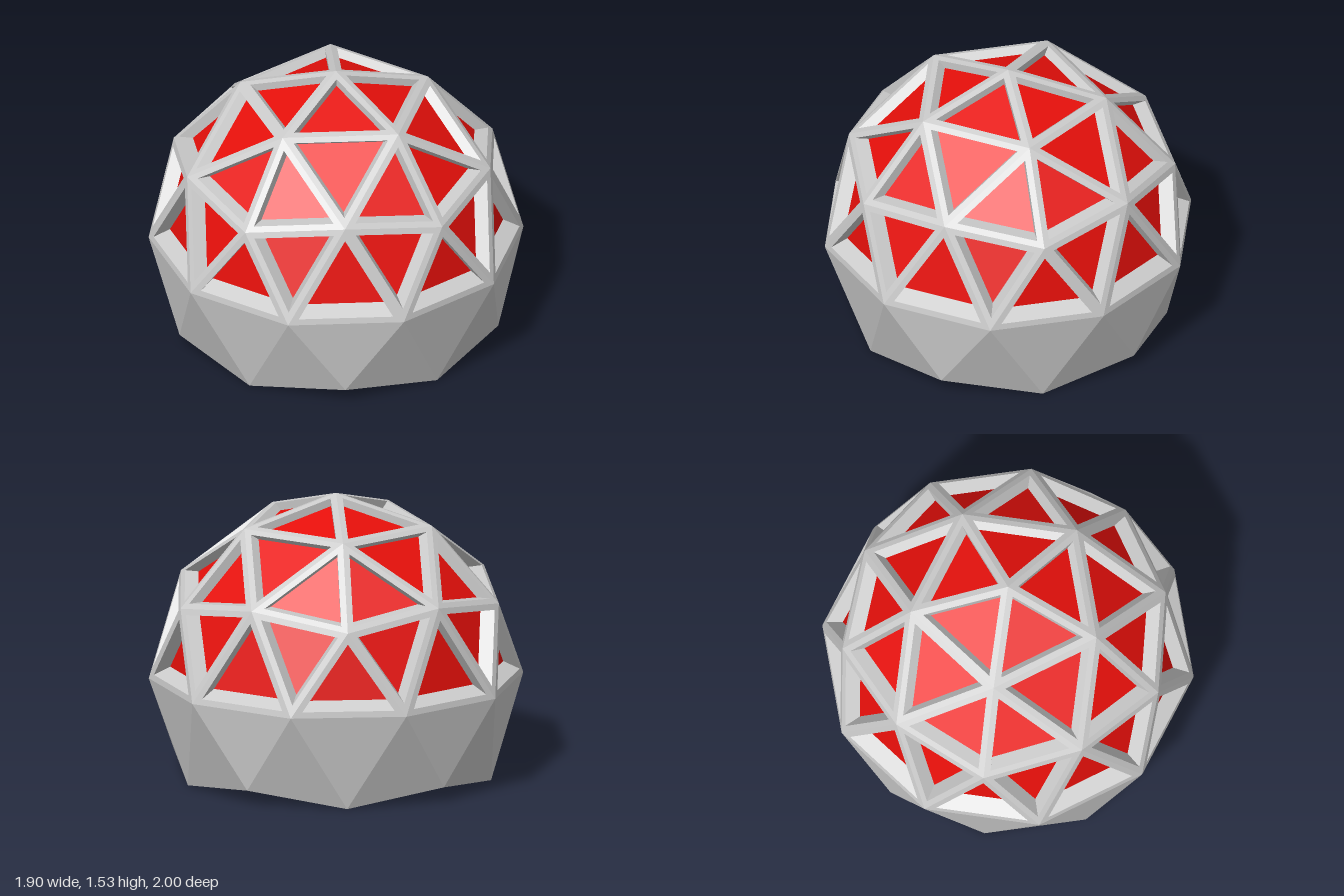
import * as THREE from 'three';

const RISE = 0.526;        // height of the widest ring
const INSET = 0.033;       // half width of a strut
const SHRINK = 0.91;       // inner shell relative to the outer shell
const SHRINK_CENTRE = new THREE.Vector3(0, 0.5, 0);

// Point on a horizontal ring, azimuth in degrees
const ring = (r, y) => (deg) => {
  const t = THREE.MathUtils.degToRad(deg);
  return new THREE.Vector3(r * Math.cos(t), y, r * Math.sin(t));
};
const top = ring(0, 1);
const crown = ring(0.526, 0.851);
const upper = ring(0.894, 0.447);
const upperMid = ring(0.851, 0.526);
const equator = ring(1, 0);
const lower = ring(0.894, -0.447);
const foot = ring(0.851, -0.526);
const under = ring(0.526, -0.447);
const underCentre = ring(0, -0.447);

// Wind a triangle so that its normal agrees with a direction
function facing([a, b, c], dir) {
  const n = b.clone().sub(a).cross(c.clone().sub(a));
  return n.dot(dir) < 0 ? [a, c, b] : [a, b, c];
}
const outward = (t) => facing(t, t[0].clone().add(t[1]).add(t[2]));
const downward = (t) => facing(t, new THREE.Vector3(0, -1, 0));

// Move each corner inward so every side shifts by w
function insetTriangle([a, b, c], w) {
  const la = b.distanceTo(c), lb = c.distanceTo(a), lc = a.distanceTo(b);
  const p = la + lb + lc;
  const centre = new THREE.Vector3()
    .addScaledVector(a, la / p).addScaledVector(b, lb / p).addScaledVector(c, lc / p);
  const area = b.clone().sub(a).cross(c.clone().sub(a)).length() / 2;
  const k = w / (2 * area / p);
  return [a, b, c].map((v) => v.clone().lerp(centre, k));
}

const shrink = (v) => v.clone().sub(SHRINK_CENTRE).multiplyScalar(SHRINK).add(SHRINK_CENTRE);

function makeMesh(name, triangles, color) {
  const g = new THREE.BufferGeometry().setFromPoints(triangles.flat());
  g.computeVertexNormals();
  const m = new THREE.Mesh(g, new THREE.MeshStandardMaterial({ color, flatShading: true }));
  m.name = name;
  m.position.y = RISE;
  return m;
}

export function createModel() {
  const dome = [], base = [], floor = [];

  // Five identical sectors
  for (let a = 0; a < 360; a += 72) {
    dome.push(
      [top(0), crown(a), crown(a + 72)],
      [crown(a), upper(a), upperMid(a + 36)],
      [crown(a), upperMid(a - 36), upper(a)],
      [crown(a), upperMid(a + 36), crown(a + 72)],
      [upper(a), equator(a - 18), equator(a + 18)],
      [upper(a), equator(a + 18), upperMid(a + 36)],
      [upperMid(a - 36), equator(a - 18), upper(a)],
      [upperMid(a + 36), equator(a + 18), equator(a + 54)],
    );
    base.push(
      [foot(a), equator(a - 18), equator(a + 18)],
      [foot(a), equator(a + 18), lower(a + 36)],
      [lower(a + 36), equator(a + 18), equator(a + 54)],
      [lower(a + 36), equator(a + 54), foot(a + 72)],
    );
    // Underside: recessed flat centre with five low feet
    floor.push(
      [lower(a + 36), foot(a), under(a + 36)],
      [lower(a + 36), under(a + 36), foot(a + 72)],
      [under(a - 36), under(a + 36), foot(a)],
      [underCentre(0), under(a - 36), under(a + 36)],
    );
  }

  // Struts with sloping inner walls around each recessed panel
  const frame = [], panels = [];
  for (const t of dome.map(outward)) {
    const rim = insetTriangle(t, INSET);
    const deep = rim.map(shrink);
    for (let i = 0; i < 3; i++) {
      const j = (i + 1) % 3;
      frame.push([t[i], t[j], rim[j]], [t[i], rim[j], rim[i]]);
      frame.push([rim[i], rim[j], deep[j]], [rim[i], deep[j], deep[i]]);
    }
    panels.push(deep);
  }

  const group = new THREE.Group();
  group.name = 'geodesicDome';
  group.add(
    makeMesh('domeFrame', frame, 0xcccccc),
    makeMesh('domePanels', panels, 0xe60f0a),
    makeMesh('baseWall', base.map(outward), 0xcccccc),
    makeMesh('baseUnderside', floor.map(downward), 0xcccccc),
  );
  return group;
}
